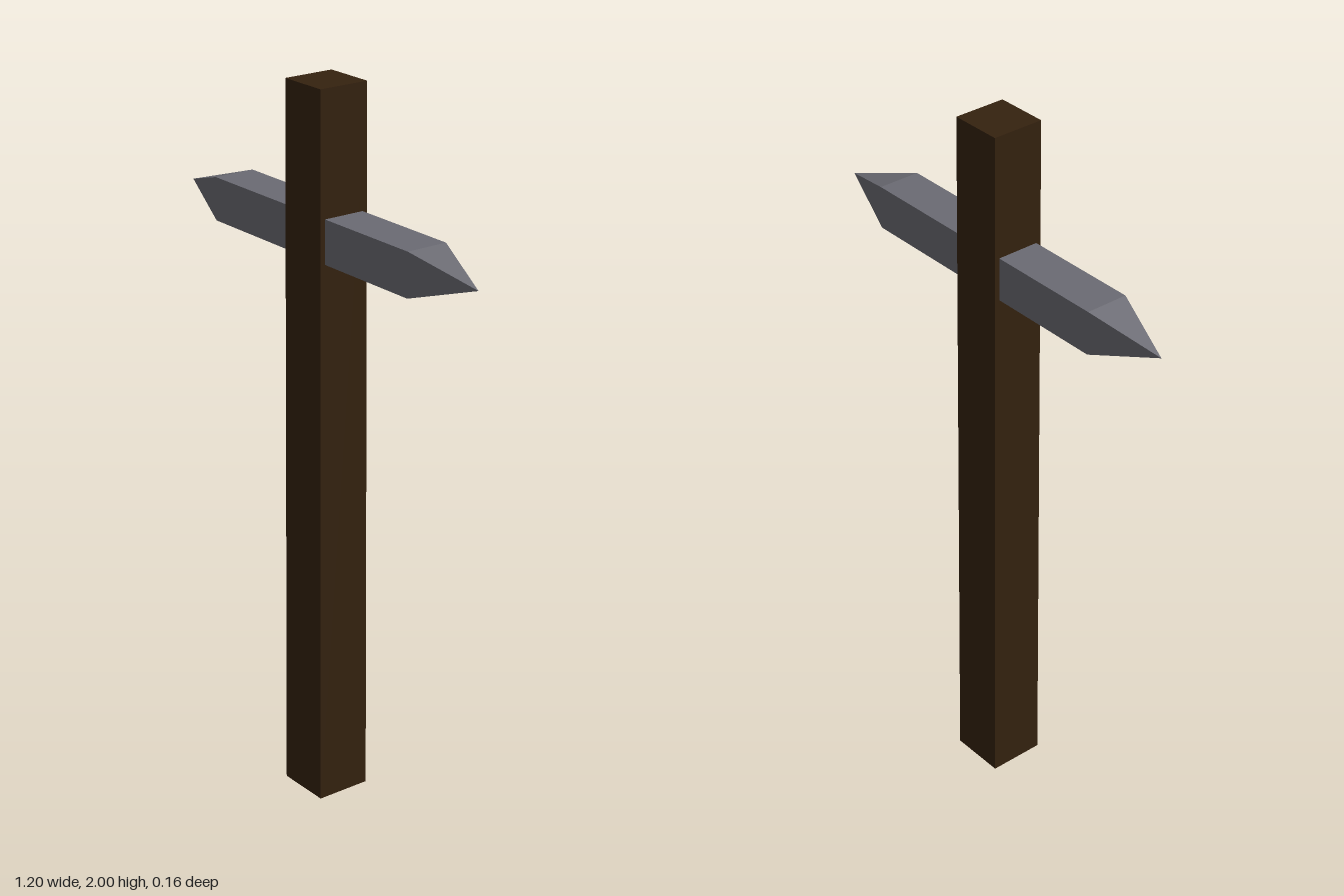
import * as THREE from 'three';

export function createModel() {
  const group = new THREE.Group();
  const wood = new THREE.MeshStandardMaterial({ color: 0x35220f });
  wood.name = 'dark wood';
  const steel = new THREE.MeshStandardMaterial({ color: 0x6b6b73 });
  steel.name = 'grey steel';

  const add = (name, geometry, material, x, y) => {
    const mesh = new THREE.Mesh(geometry, material);
    mesh.name = name;
    mesh.position.set(x, y, 0);
    group.add(mesh);
  };

  // Four-sided solid with faces square to the axes; sizes are half widths
  const squareTaper = (top, bottom, height) => {
    const g = new THREE.CylinderGeometry(top * Math.SQRT2, bottom * Math.SQRT2, height, 4)
      .rotateY(Math.PI / 4).toNonIndexed();
    g.computeVertexNormals();
    return g;
  };

  // Handle, slightly narrower at the top
  add('handle', squareTaper(0.073, 0.079, 2), wood, 0, 1);

  // Head bar through the handle, with a pyramid point at each end
  const headY = 1.604, half = 0.06, barEnd = 0.405, tip = 0.6;
  add('headBar', new THREE.BoxGeometry(barEnd * 2, half * 2, half * 2), steel, 0, headY);
  for (const side of [1, -1]) {
    const point = squareTaper(0, half, tip - barEnd).rotateZ(-side * Math.PI / 2);
    add(side > 0 ? 'leftPoint' : 'rightPoint', point, steel, side * (barEnd + tip) / 2, headY);
  }
  return group;
}
